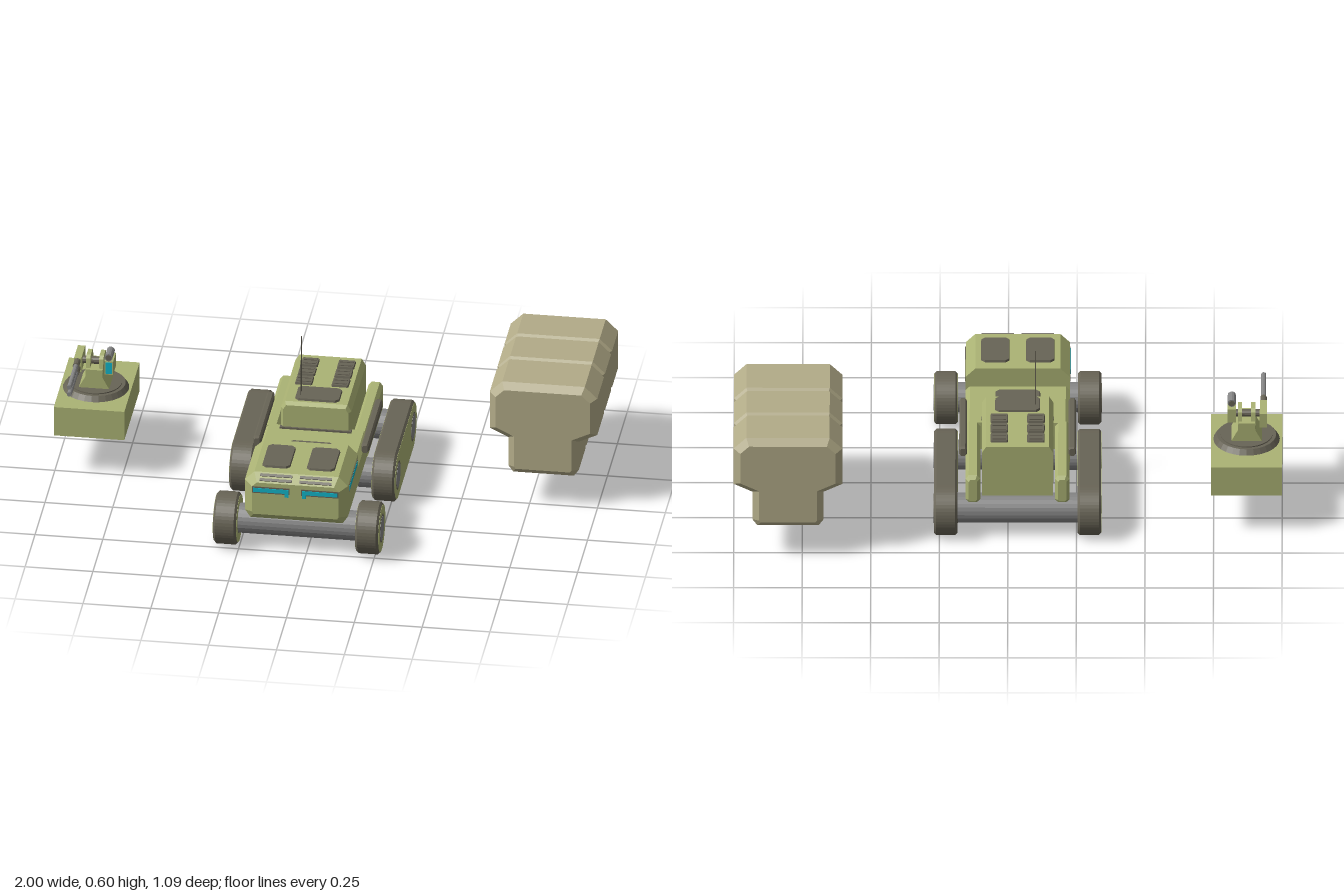
import * as THREE from 'three';

const paint = (color) => new THREE.MeshStandardMaterial({ color, flatShading: true });
const green = paint(0xabb374), tan = paint(0xb2ab88), dark = paint(0x686456);
const grey = paint(0x858585), cyan = paint(0x12b4c8);
const CX = -0.035; // centre line of the vehicle

function add(parent, name, geometry, material, x = 0, y = 0, z = 0) {
  const mesh = new THREE.Mesh(geometry, material);
  mesh.name = name;
  mesh.position.set(x, y, z);
  parent.add(mesh);
  return mesh;
}

// box given by its limits
function block(parent, name, material, x0, x1, y0, y1, z0, z1) {
  return add(parent, name, new THREE.BoxGeometry(x1 - x0, y1 - y0, z1 - z0), material,
    (x0 + x1) / 2, (y0 + y1) / 2, (z0 + z1) / 2);
}

// cylinder along x or z
function rod(parent, name, material, r, length, axis, x, y, z, sides = 24) {
  const g = new THREE.CylinderGeometry(r, r, length, sides);
  if (axis === 'x') g.rotateZ(Math.PI / 2); else if (axis === 'z') g.rotateX(Math.PI / 2);
  return add(parent, name, g, material, x, y, z);
}

// right half of a section, bottom to top, mirrored to a closed ring
const mirrored = (half) => [...half, ...half.slice().reverse().map(([x, y]) => [-x, y])];

// move every edge of a ring inward by d
function inset(ring, d) {
  const n = ring.length;
  const normal = (a, b) => {
    const dx = b[0] - a[0], dy = b[1] - a[1], l = Math.hypot(dx, dy);
    return [dy / l, -dx / l];
  };
  return ring.map((p, i) => {
    const m = normal(ring[(i + n - 1) % n], p), k = normal(p, ring[(i + 1) % n]);
    const s = d / (1 + m[0] * k[0] + m[1] * k[1]);
    return [p[0] - s * (m[0] + k[0]), p[1] - s * (m[1] + k[1])];
  });
}

// skin through [z, inset] stations, back to front, with closed ends
function loft(ring, stations) {
  const n = ring.length, pos = [], index = [];
  stations.forEach(([z, d]) => inset(ring, d).forEach(([x, y]) => pos.push(x, y, z)));
  for (let s = 0; s < stations.length - 1; s++) {
    for (let i = 0; i < n; i++) {
      const a = s * n + i, b = s * n + (i + 1) % n;
      index.push(a + n, a, b, a + n, b, b + n);
    }
  }
  const last = (stations.length - 1) * n;
  const caps = THREE.ShapeUtils.triangulateShape(ring.map((p) => new THREE.Vector2(...p)), []);
  for (const [a, b, c] of caps) index.push(a + last, b + last, c + last, c, b, a);
  const g = new THREE.BufferGeometry();
  g.setAttribute('position', new THREE.Float32BufferAttribute(pos, 3));
  g.setIndex(index);
  const flat = g.toNonIndexed();
  flat.computeVertexNormals();
  return flat;
}

// solid stadium (or disc) across x, round ends at z0 and z1
function stadium(z0, z1, r, width, bevel) {
  const s = new THREE.Shape();
  s.absarc(z1, 0, r - bevel, -Math.PI / 2, Math.PI / 2);
  s.absarc(z0, 0, r - bevel, Math.PI / 2, Math.PI * 1.5);
  const g = new THREE.ExtrudeGeometry(s, {
    depth: width - 2 * bevel, curveSegments: 12, bevelEnabled: bevel > 0,
    bevelSize: bevel, bevelThickness: bevel, bevelSegments: 1,
  });
  g.translate(0, 0, -width / 2 + bevel);
  return g.rotateY(-Math.PI / 2);
}

// flat plate with cut corners, lying on a top surface
function hatch(parent, name, x0, x1, y, z0, z1, cut = 0.014) {
  const w = (x1 - x0) / 2, h = (z1 - z0) / 2;
  const half = [[w - cut, -h], [w, -h + cut], [w, h - cut], [w - cut, h]];
  const g = loft(mirrored(half), [[0, 0], [0.008, 0.002]]).rotateX(-Math.PI / 2);
  add(parent, name, g, dark, (x0 + x1) / 2, y, (z0 + z1) / 2);
}

// wheel or track pair with hubs and axles
function runningGear(parent, name, z0, z1) {
  const y = 0.097, ends = z0 === z1 ? [z0] : [z0, z1];
  for (const side of [-1, 1]) {
    const gear = new THREE.Group();
    gear.name = name + (side > 0 ? 'Left' : 'Right');
    gear.position.set(CX + side * 0.262, y, 0);
    parent.add(gear);
    add(gear, 'tread', stadium(z0, z1, 0.097, 0.085, 0.008), dark);
    add(gear, 'sidePlate', stadium(z0, z1, 0.088, 0.087, 0), green);
    for (const z of ends) {
      rod(gear, 'hubRing', dark, 0.054, 0.088, 'x', 0, 0, z);
      rod(gear, 'hub', grey, 0.047, 0.09, 'x', 0, 0, z);
    }
  }
  for (const z of ends) rod(parent, 'axle', grey, 0.055, 0.45, 'x', CX, 0.1, z);
}

function vehicle() {
  const v = new THREE.Group();
  v.name = 'vehicle';

  // cab and hull
  const cab = mirrored([[0.17, 0.14], [0.19, 0.17], [0.19, 0.295], [0.155, 0.33]]);
  add(v, 'cab', loft(cab, [[0.26, 0], [0.508, 0], [0.538, 0.03]]), green, CX);
  const deck = mirrored([[0.17, 0.14], [0.19, 0.165], [0.19, 0.24], [0.175, 0.255]]);
  add(v, 'deck', loft(deck, [[0, 0], [0.262, 0]]), green, CX);
  const box = mirrored([[0.13, 0.14], [0.13, 0.335], [0.115, 0.36]]);
  add(v, 'rearBox', loft(box, [[-0.35, 0], [0.01, 0], [0.025, 0.01]]), green, CX);
  block(v, 'boxSill', dark, CX - 0.132, CX + 0.132, 0.255, 0.262, 0.015, 0.032);

  for (const s of [-1, 1]) {
    // side sponsons and rails
    const pod = mirrored([[0.015, 0.14], [0.027, 0.155], [0.027, 0.24], [0.015, 0.255]]);
    add(v, 'sponson', loft(pod, [[-0.39, 0.012], [-0.375, 0], [0.01, 0]]), green, CX + s * 0.163);
    const rail = mirrored([[0.008, 0.238], [0.014, 0.245], [0.014, 0.268], [0.008, 0.275]]);
    add(v, 'sideRail', loft(rail, [[-0.215, 0.004], [-0.205, 0], [0.135, 0], [0.15, 0.004]]),
      dark, CX + s * 0.199);

    // side windows
    const wx = CX + s * 0.19;
    block(v, 'windowFrame', dark, wx - 0.002, wx + 0.002, 0.262, 0.288, 0.283, 0.49);
    block(v, 'sideWindow', cyan, wx - 0.003, wx + 0.003, 0.266, 0.284, 0.288, 0.485);

    // front windows, grille bars and roof hatches
    const fx = CX + s * 0.09;
    block(v, 'frontFrame', dark, fx - 0.069, fx + 0.069, 0.258, 0.284, 0.53, 0.54);
    block(v, 'frontWindow', cyan, fx - 0.065, fx + 0.065, 0.263, 0.279, 0.531, 0.542);
    const ix = CX + s * 0.032;
    block(v, 'windowDrop', cyan, ix - 0.007, ix + 0.007, 0.248, 0.264, 0.531, 0.542);
    for (const t of [0.25, 0.75]) {
      const bar = add(v, 'grilleBar', new THREE.BoxGeometry(0.118, 0.01, 0.01), dark,
        CX + s * 0.073, 0.328 - 0.026 * t, 0.51 + 0.026 * t);
      bar.rotation.x = -Math.PI / 4;
    }
    hatch(v, 'roofHatch', CX + s * 0.082 - 0.052, CX + s * 0.082 + 0.052, 0.33, 0.305, 0.472);

    // vents on the rear box
    for (const z of [-0.29, -0.22, -0.15]) {
      const x = CX + s * 0.067;
      hatch(v, 'vent', x - 0.032, x + 0.032, 0.36, z - 0.029, z + 0.029, 0.004);
      for (const k of [-1, 1]) {
        block(v, 'ventSlat', dark, x - 0.024, x + 0.024, 0.366, 0.371, z + k * 0.013 - 0.006, z + k * 0.013 + 0.006);
      }
    }
  }
  hatch(v, 'deckHatch', CX - 0.082, CX + 0.082, 0.255, 0.125, 0.225);
  hatch(v, 'boxHatch', CX - 0.082, CX + 0.082, 0.36, -0.1, 0);

  // antennas
  rod(v, 'tallAntenna', dark, 0.0018, 0.25, 'y', -0.1, 0.47, -0.057, 6);
  rod(v, 'shortAntenna', dark, 0.0018, 0.16, 'y', -0.1, 0.43, -0.03, 6);

  runningGear(v, 'frontWheel', 0.445, 0.445);
  runningGear(v, 'track', -0.345, 0.033);
  return v;
}

function turret() {
  const t = new THREE.Group();
  t.name = 'turretModule';
  const cx = -0.87, cz = -0.15;
  block(t, 'turretBase', green, -1, -0.74, 0.16, 0.277, -0.357, 0.028);
  add(t, 'turntable', new THREE.CylinderGeometry(0.108, 0.122, 0.02, 28), dark, cx, 0.286, cz);
  rod(t, 'turntableTop', dark, 0.095, 0.006, 'y', cx, 0.297, cz, 28);

  // flared pedestal with two yoke plates
  const flare = mirrored([[0.058, 0.296], [0.032, 0.345], [0.03, 0.375]]);
  add(t, 'pedestal', loft(flare, [[-0.055, 0], [0.055, 0]]), green, cx, 0, cz);
  const yoke = new THREE.Shape([[-0.045, 0.36], [0.045, 0.36], [0.035, 0.41], [0.022, 0.42],
    [-0.022, 0.42], [-0.035, 0.41]].map((p) => new THREE.Vector2(...p)));
  for (const s of [-1, 1]) {
    const g = new THREE.ExtrudeGeometry(yoke, { depth: 0.016, bevelEnabled: false });
    g.translate(0, 0, -0.008).rotateY(-Math.PI / 2);
    add(t, 'yokePlate', g, green, cx + s * 0.024, 0, cz);
  }
  rod(t, 'pivot', dark, 0.014, 0.12, 'x', cx, 0.387, cz, 12);

  // twin guns
  block(t, 'breech', green, -0.945, -0.918, 0.357, 0.414, -0.205, -0.105);
  for (const y of [0.373, 0.402]) {
    rod(t, 'barrel', grey, 0.009, 0.22, 'z', -0.932, y, -0.01, 12);
    rod(t, 'barrelSleeve', dark, 0.012, 0.05, 'z', -0.932, y, -0.09, 12);
  }

  // sight
  block(t, 'sightHousing', green, -0.832, -0.8, 0.357, 0.412, -0.17, -0.1);
  block(t, 'sightLens', cyan, -0.828, -0.804, 0.362, 0.407, -0.105, -0.097);
  rod(t, 'sightTube', grey, 0.015, 0.06, 'z', -0.816, 0.43, -0.125, 12);
  rod(t, 'tubeLens', dark, 0.011, 0.064, 'z', -0.816, 0.43, -0.125, 12);
  return t;
}

function cargoPod() {
  // T-shaped section with two shallow grooves and chamfered ends
  const ring = mirrored([[0.112, 0.13], [0.13, 0.155], [0.13, 0.272], [0.198, 0.305],
    [0.198, 0.455], [0.152, 0.5]]);
  const stations = [[-0.545, 0.024], [-0.522, 0]];
  for (const z of [-0.355, -0.178]) {
    stations.push([z - 0.014, 0], [z - 0.005, 0.008], [z + 0.005, 0.008], [z + 0.014, 0]);
  }
  stations.push([0.005, 0], [0.028, 0.024]);
  const g = new THREE.Group();
  g.name = 'cargoModule';
  add(g, 'cargoPod', loft(ring, stations), tan, 0.802);
  return g;
}

export function createModel() {
  const model = new THREE.Group();
  model.name = 'modularVehicle';
  model.add(vehicle(), turret(), cargoPod());
  return model;
}
